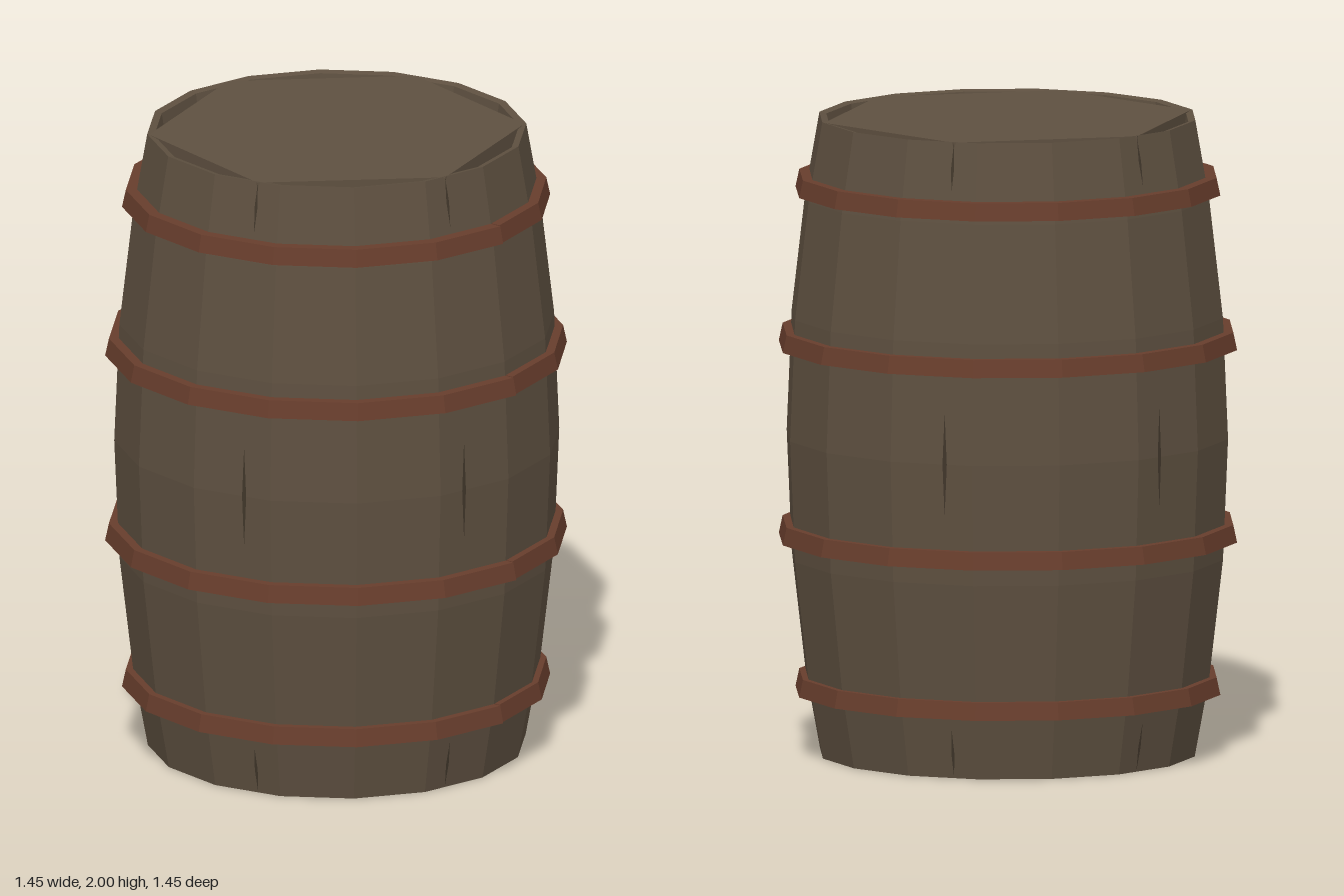
import * as THREE from 'three';

const SIDES = 16;
const rad = THREE.MathUtils.degToRad;
const flat = (name, color) => new THREE.MeshStandardMaterial({ name, color, flatShading: true, side: THREE.DoubleSide });

export function createModel() {
  const wood = flat('dark wood', 0x5e5040);
  const pale = flat('pale wood', 0x88755e);
  const rust = flat('rusty iron', 0x673d2c);
  const crackDark = flat('crack shadow', 0x40362a);

  const barrel = new THREE.Group();
  barrel.name = 'barrel';
  const add = (geometry, material, name, parent = barrel) => {
    const mesh = new THREE.Mesh(geometry, material);
    mesh.name = name;
    parent.add(mesh);
    return mesh;
  };
  const lathe = (pairs, ...arc) =>
    new THREE.LatheGeometry(pairs.map(([r, y]) => new THREE.Vector2(r, y)), SIDES, ...arc);

  // Bulging staves with a closed base and a short inner lip
  add(lathe([
    [0, 0], [0.59, 0], [0.636, 0.25], [0.679, 0.62], [0.695, 1],
    [0.679, 1.38], [0.636, 1.75], [0.592, 2], [0.57, 1.995], [0.56, 1.93],
  ]), wood, 'staves');

  // Recessed pale head under a six-sided lid
  add(lathe([[0.565, 1.93], [0, 1.93]]), pale, 'head');
  add(new THREE.CylinderGeometry(0.586, 0.586, 0.065, 6, 1, false, rad(15)), wood, 'lid')
    .position.y = 1.966;

  // Split iron hoops, each a band with open ends at +x
  const hoop = (y, r, name) => {
    const group = new THREE.Group();
    group.name = name;
    group.position.y = y;
    const section = [
      [r - 0.05, -0.03], [r, -0.025], [r - 0.012, 0.03], [r - 0.055, 0.03], [r - 0.05, -0.03],
    ];
    const gap = 0.008;
    const band = lathe(section, Math.PI / 2 + gap, Math.PI * 2 - gap);
    // The band tightens slightly towards its starting end
    const p = band.attributes.position;
    for (let i = 0; i < p.count; i++) {
      const t = Math.floor(i / section.length) / SIDES;
      const k = 1 - 0.012 * (1 - t);
      p.setX(i, p.getX(i) * k);
      p.setZ(i, p.getZ(i) * k);
    }
    add(band, rust, 'band', group);
    const cap = new THREE.ShapeGeometry(new THREE.Shape(section.map(([x, h]) => new THREE.Vector2(x, h))));
    add(cap, rust, 'frontEnd', group);
    const back = add(cap, rust, 'backEnd', group);
    back.scale.set(0.988, 1, 1);
    back.position.z = -gap * r;
    barrel.add(group);
  };
  hoop(0.22, 0.674, 'bottomHoop');
  hoop(0.7, 0.727, 'lowerHoop');
  hoop(1.305, 0.727, 'upperHoop');
  hoop(1.79, 0.674, 'topHoop');

  // Slim cracks where the six wide staves meet
  const sliver = (w, h) => new THREE.ShapeGeometry(new THREE.Shape([
    new THREE.Vector2(0, -h / 2), new THREE.Vector2(w / 2, 0),
    new THREE.Vector2(0, h / 2), new THREE.Vector2(-w / 2, 0),
  ]));
  const middle = sliver(0.014, 0.33);
  const end = sliver(0.01, 0.16);
  for (let i = 0; i < 6; i++) {
    const seam = new THREE.Group();
    seam.name = 'staveSeam';
    seam.rotation.y = rad(15 + 60 * i);
    add(middle, crackDark, 'middleCrack', seam).position.set(0, 1, 0.687);
    const low = add(end, crackDark, 'lowerCrack', seam);
    low.position.set(0, 0.08, 0.597);
    low.rotation.x = 0.18;
    const high = add(end, crackDark, 'upperCrack', seam);
    high.position.set(0, 1.92, 0.599);
    high.rotation.x = -0.18;
    barrel.add(seam);
  }
  return barrel;
}
